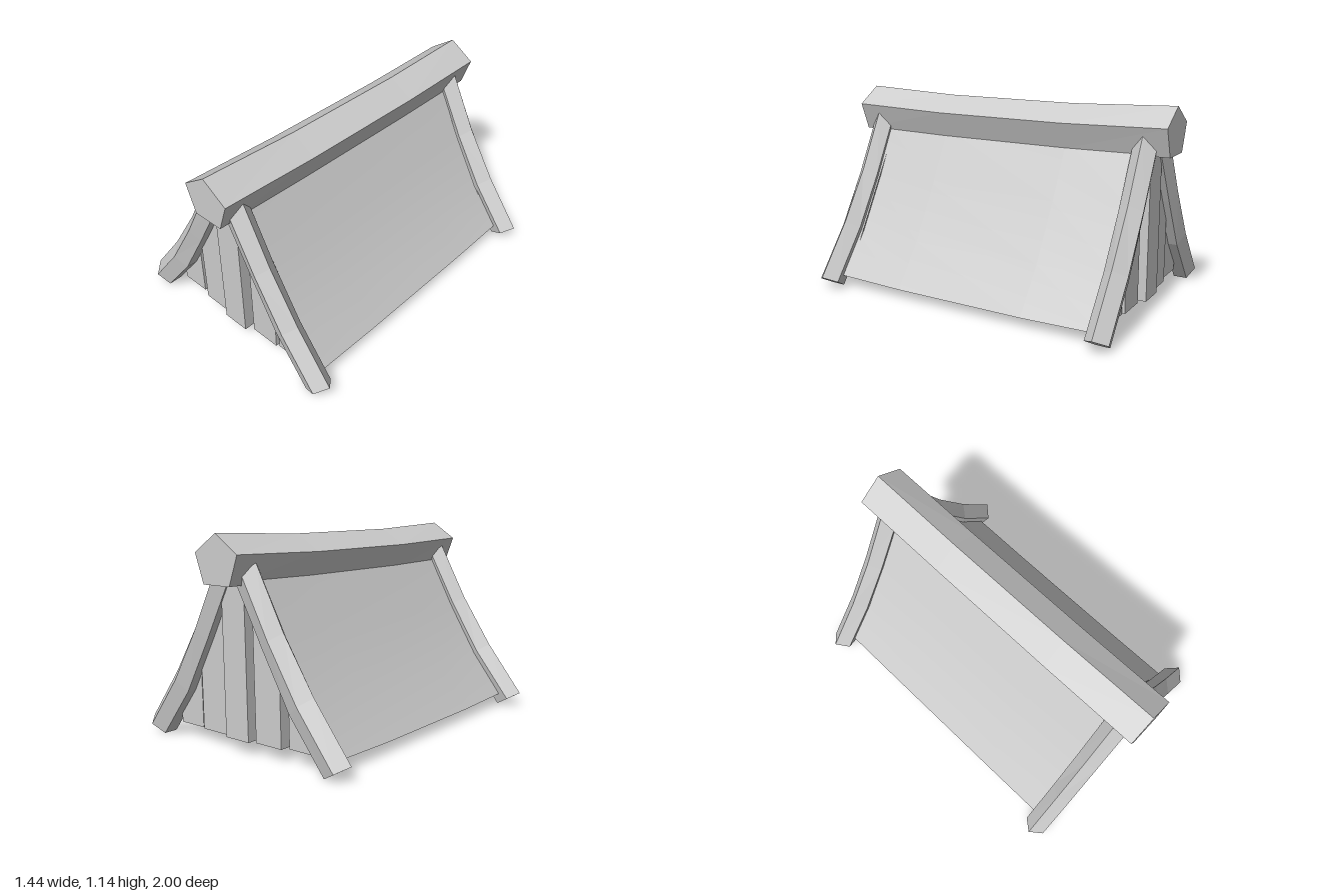
import * as THREE from 'three';

const flat = new THREE.MeshStandardMaterial({ color: 0xcccccc, flatShading: true });
const smooth = new THREE.MeshStandardMaterial({ color: 0xcccccc, side: THREE.DoubleSide });

// Roof curve from eave to ridge, as [x, y] on the +x side
const ROOF = [[0.6, 0.08], [0.42, 0.32], [0.24, 0.63], [0.08, 0.94]];
// Outer and inner edges of a rafter
const OUTER = [[0.718, 0.087], [0.495, 0.378], [0.308, 0.67], [0.135, 1.0]];
const INNER = [[0.583, 0.008], [0.37, 0.28], [0.2, 0.58], [0.035, 0.885]];
const FLOOR_Y = 0.16;

// The ridge leans slightly to +x
const lean = (x, y) => x + 0.015 * y;
// The roof sags between its ends: 0 at the ends, 1 in the middle
const sag = z => THREE.MathUtils.clamp((1 - Math.abs(z)) / 0.6, 0, 1);

// Closed solid through equal rings of points, turned outward by its volume
function loft(rings) {
  const n = rings[0].length, pos = rings.flat(2), tris = [];
  for (let r = 0; r < rings.length - 1; r++)
    for (let i = 0; i < n; i++) {
      const j = (i + 1) % n, a = r * n + i, b = r * n + j;
      tris.push([a, b, b + n], [a, b + n, a + n]);
    }
  const last = (rings.length - 1) * n;
  for (let i = 1; i < n - 1; i++) tris.push([0, i + 1, i], [last, last + i, last + i + 1]);
  const v = i => new THREE.Vector3().fromArray(pos, i * 3);
  const volume = tris.reduce((s, [a, b, c]) => s + v(a).dot(v(b).cross(v(c))), 0);
  const geo = new THREE.BufferGeometry();
  geo.setAttribute('position', new THREE.Float32BufferAttribute(pos, 3));
  geo.setIndex(tris.flatMap(([a, b, c]) => (volume < 0 ? [a, c, b] : [a, b, c])));
  const out = geo.toNonIndexed();
  out.computeVertexNormals();
  return out;
}

// Roof height above a given x
function roofY(x) {
  const ax = Math.abs(x);
  for (let i = 0; i < ROOF.length - 1; i++) {
    const [x0, y0] = ROOF[i], [x1, y1] = ROOF[i + 1];
    if (ax >= x1) return y0 + (y1 - y0) * (x0 - ax) / (x0 - x1);
  }
  return ROOF[3][1];
}

// Curved thin roof slope
function slope(side) {
  const zs = [-0.86, -0.4, 0.4, 0.87], pos = [], idx = [], n = ROOF.length;
  for (const z of zs)
    for (const [x, y] of ROOF) pos.push(lean(side * x, y), y - 0.015 * sag(z), z);
  for (let r = 0; r < zs.length - 1; r++)
    for (let i = 0; i < n - 1; i++) {
      const a = r * n + i, b = a + 1, c = a + n, d = c + 1;
      if (side > 0) idx.push(a, b, d, a, d, c);
      else idx.push(a, d, b, a, c, d);
    }
  const geo = new THREE.BufferGeometry();
  geo.setAttribute('position', new THREE.Float32BufferAttribute(pos, 3));
  geo.setIndex(idx);
  geo.computeVertexNormals();
  return geo;
}

// Bent five-sided rafter at depth z
function rafter(side, z) {
  return loft(OUTER.map(([ax, ay], i) => {
    const [bx, by] = INNER[i];
    const p = (t, dz) => {
      const y = ay + (by - ay) * t;
      return [lean(side * (ax + (bx - ax) * t), y), y, z + dz];
    };
    return [p(0, 0), p(0.42, 0.067), p(1, 0.04), p(1, -0.04), p(0.42, -0.067)];
  }));
}

// Upright board whose top follows the roof
function plank(x0, x1, bottom, z0, z1) {
  const pts = [[x0, bottom], [x1, bottom]];
  for (let i = 0; i <= 4; i++) {
    const x = x1 + (x0 - x1) * i / 4;
    pts.push([x, Math.max(roofY(x) - 0.01, bottom + 0.01)]);
  }
  return loft([z0, z1].map(z => pts.map(([x, y]) => [lean(x, y), y, z])));
}

export function createModel() {
  const model = new THREE.Group();
  const add = (name, geo, mat = flat) => {
    const mesh = new THREE.Mesh(geo, mat);
    mesh.name = name;
    model.add(mesh);
  };

  // Ridge beam with a slight sag
  const section = [[0.02, 1.146], [0.17, 1.047], [0.112, 0.889], [-0.072, 0.889], [-0.13, 1.047]];
  add('ridgeBeam', loft([-1, -0.4, 0.4, 1].map(z => section.map(([x, y]) =>
    [x, y - sag(z) * (0.005 + 0.07 * (y - 0.889)), z]))));

  // Roof slopes and rafters
  for (const side of [1, -1]) {
    const label = side > 0 ? 'left' : 'right';
    add(label + 'RoofSlope', slope(side), smooth);
    add(label + 'FrontRafter', rafter(side, 0.877));
    add(label + 'BackRafter', rafter(side, -0.863));
  }

  // Closed core under the roof, with the floor and gable walls
  const half = [[0.532, FLOOR_Y], ...ROOF.slice(1)].map(([x, y]) => [x - 0.012, y]);
  const core = [...half, ...half.map(([x, y]) => [-x, y]).reverse()];
  add('atticCore', loft([-0.8, -0.4, 0.4, 0.8].map(z => core.map(([x, y]) =>
    [lean(x, y), y === FLOOR_Y ? y : y - 0.015 * sag(z), z]))));

  // Gable planks: left edge, right edge, bottom, outer depth
  const planks = [
    [-0.49, -0.317, 0.085, 0.85], [-0.275, -0.1, 0.077, 0.865], [-0.075, 0.088, 0.08, 0.895],
    [0.12, 0.3, 0.077, 0.86], [0.315, 0.49, 0.079, 0.85],
  ];
  for (const end of [1, -1])
    planks.forEach(([x0, x1, y, z], i) => add(
      (end > 0 ? 'front' : 'back') + 'GablePlank' + (i + 1),
      plank(x0, x1, y, end * 0.79, end * z)));

  return model;
}
